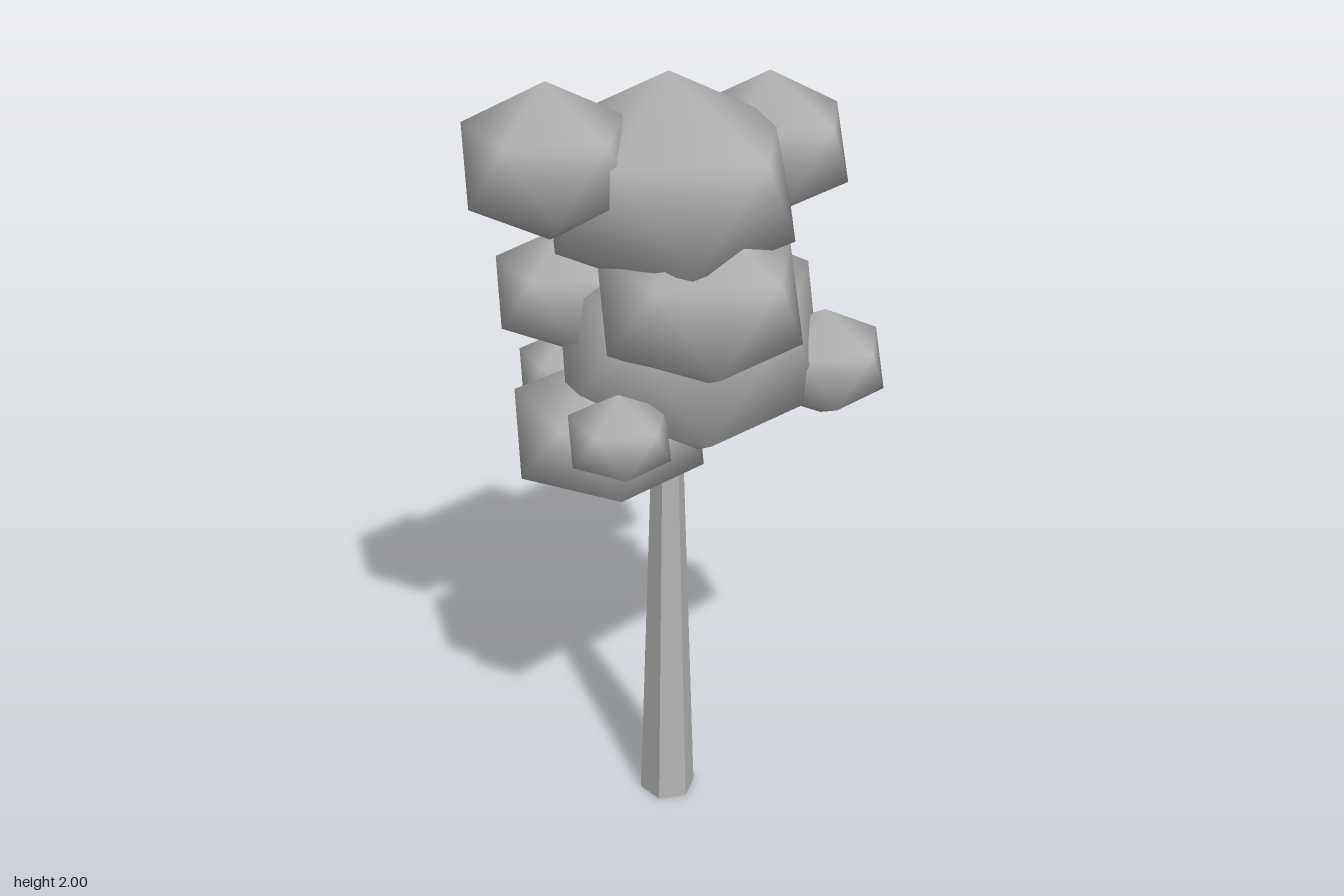
import * as THREE from 'three';

// Smooth twenty-sided ball with a corner at each pole and two rings of five
function clumpGeometry() {
  const points = [0, 1, 0, 0, -1, 0];
  const faces = [];
  const h = Math.sqrt(0.2), r = 2 * h;
  for (let i = 0; i < 5; i++) {
    const a = i * Math.PI * 0.4, b = a + Math.PI * 0.2;
    points.push(r * Math.cos(a), h, r * Math.sin(a));
    points.push(r * Math.cos(b), -h, r * Math.sin(b));
    const u = 2 + 2 * i, l = u + 1;
    const u2 = 2 + 2 * ((i + 1) % 5), l2 = u2 + 1;
    faces.push(0, u2, u, u, u2, l, u2, l2, l, 1, l, l2);
  }
  const geometry = new THREE.BufferGeometry();
  geometry.setAttribute('position', new THREE.Float32BufferAttribute(points, 3));
  geometry.setIndex(faces);
  geometry.computeVertexNormals();
  return geometry;
}

export function createModel() {
  const tree = new THREE.Group();
  tree.name = 'tree';
  const grey = new THREE.MeshStandardMaterial({ color: 0xb4b4b4 });
  grey.name = 'plain grey';

  // Tapered six-sided trunk, running up into the foliage
  const trunkGeometry = new THREE.CylinderGeometry(0.035, 0.074, 1.2, 6, 1, false, Math.PI / 12).toNonIndexed();
  trunkGeometry.computeVertexNormals();
  const trunk = new THREE.Mesh(trunkGeometry, grey);
  trunk.name = 'trunk';
  trunk.position.set(-0.025, 0.6, 0.04);
  tree.add(trunk);

  // Foliage clumps: name, centre, radii
  const clumps = [
    ['crownClump', [-0.022, 1.717, 0.042], [0.325, 0.266, 0.345]],
    ['crownRightClump', [-0.33, 1.82, 0.057], [0.213, 0.18, 0.22]],
    ['crownLeftClump', [0.287, 1.748, -0.035], [0.213, 0.182, 0.23]],
    ['frontClump', [-0.005, 1.479, 0.165], [0.268, 0.222, 0.28]],
    ['middleClump', [0.06, 1.302, -0.003], [0.372, 0.315, 0.355]],
    ['lowerLeftClump', [0.363, 1.228, 0.13], [0.172, 0.14, 0.172]],
    ['smallRightClump', [-0.228, 1.177, 0.19], [0.135, 0.111, 0.138]],
    ['lowestClump', [-0.15, 1.093, -0.03], [0.267, 0.196, 0.257]],
    ['backRightClump', [-0.18, 1.41, -0.187], [0.202, 0.164, 0.2]],
    ['smallBackClump', [-0.143, 1.14, -0.293], [0.14, 0.116, 0.138]],
    ['innerClump', [0.075, 1.47, -0.085], [0.14, 0.11, 0.14]],
  ];
  const geometry = clumpGeometry();
  const foliage = new THREE.Group();
  foliage.name = 'foliage';
  for (const [name, centre, radii] of clumps) {
    const clump = new THREE.Mesh(geometry, grey);
    clump.name = name;
    clump.position.set(...centre);
    clump.scale.set(...radii);
    foliage.add(clump);
  }
  tree.add(foliage);
  return tree;
}
